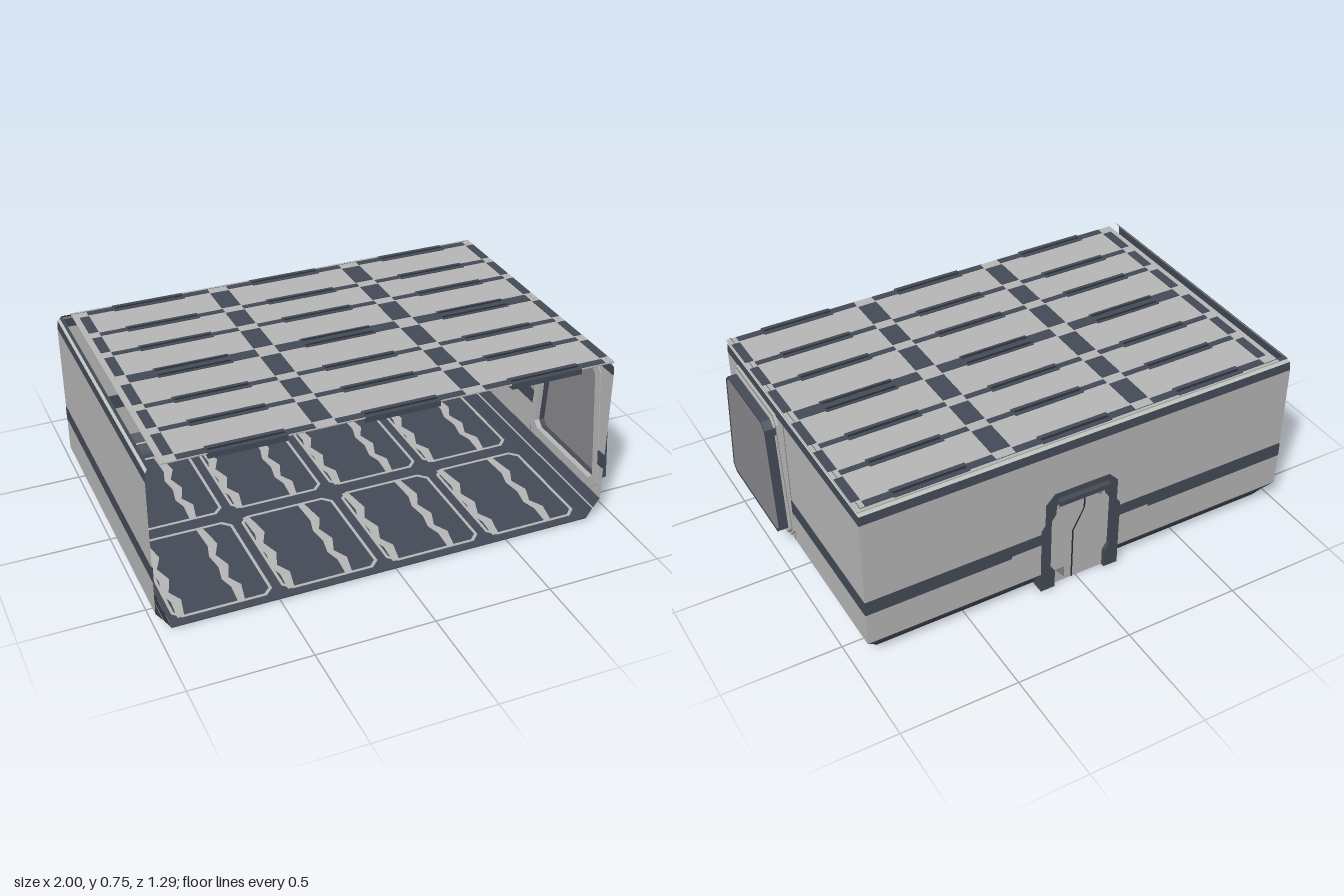
import * as THREE from 'three';

const mat = (name, color, side = THREE.DoubleSide) => {
  const m = new THREE.MeshStandardMaterial({ color, side });
  m.name = name;
  return m;
};

export function createModel() {
  const root = new THREE.Group();
  root.name = 'roomModule';
  const light = mat('lightPanel', 0xb6b6b6);
  const dark = mat('darkTrim', 0x434a56);
  const black = mat('recessBlack', 0x282b32);
  const pale = mat('paleTrim', 0xc6cdc6);
  const glass = mat('windowGrey', 0x88888c);

  const L = -1, R = 0.94, B = -0.617, F = 0.645;
  const doorL = -0.18, doorR = 0.165;

  const add = (name, geo, m, parent = root) => {
    const mesh = new THREE.Mesh(geo, m);
    mesh.name = name;
    parent.add(mesh);
    return mesh;
  };
  // box given by its minimum and maximum on each axis
  const box = (name, m, x0, x1, y0, y1, z0, z1, parent) => {
    const g = new THREE.BoxGeometry(x1 - x0, y1 - y0, z1 - z0);
    g.translate((x0 + x1) / 2, (y0 + y1) / 2, (z0 + z1) / 2);
    return add(name, g, m, parent);
  };
  const shape = (pts, hole) => {
    const s = new THREE.Shape(pts.map(p => new THREE.Vector2(p[0], p[1])));
    if (hole) s.holes.push(new THREE.Path(hole.map(p => new THREE.Vector2(p[0], p[1]))));
    return s;
  };
  const extrude = (s, depth) => new THREE.ExtrudeGeometry(s, { depth, bevelEnabled: false });

  // trim strip along the left, back and right walls, from (inset, y) a to b
  const strip = (name, m, a, b) => {
    const path = d => [[L + d, F], [L + d, B + d], [doorL, B + d], [doorR, B + d], [R - d, B + d], [R - d, F]];
    const p = path(a[0]), q = path(b[0]), pos = [];
    for (let i = 0; i < 5; i++) {
      if (i === 2 && b[1] < 0.45) continue; // leave the doorway free
      const c = [[p[i], a[1]], [p[i + 1], a[1]], [q[i + 1], b[1]], [q[i], b[1]]]
        .map(([v, y]) => [v[0], y, v[1]]);
      for (const k of [0, 2, 1, 0, 3, 2]) pos.push(...c[k]);
    }
    const g = new THREE.BufferGeometry();
    g.setAttribute('position', new THREE.Float32BufferAttribute(pos, 3));
    g.computeVertexNormals();
    add(name, g, m);
  };

  // skirting and upper trim
  strip('skirtLower', dark, [0.06, 0], [0.032, 0.045]);
  strip('skirtLine', light, [0.032, 0.045], [0.028, 0.05]);
  strip('skirtUpper', dark, [0.028, 0.05], [0, 0.088]);
  strip('upperTrim', dark, [0, 0.68], [0.003, 0.72]);
  strip('upperPaleLine', pale, [0.003, 0.72], [0.011, 0.734]);
  strip('upperEdge', dark, [0.011, 0.734], [0.02, 0.745]);

  // window outlines, drawn in (-z, y)
  const winOuter = [[-0.617, 0.145], [-0.575, 0.1], [-0.09, 0.1], [-0.055, 0.145],
    [-0.115, 0.65], [-0.14, 0.685], [-0.53, 0.685], [-0.557, 0.65]];
  const winInner = [[-0.59, 0.15], [-0.56, 0.123], [-0.112, 0.123], [-0.083, 0.15],
    [-0.122, 0.635], [-0.152, 0.662], [-0.505, 0.662], [-0.533, 0.635]];
  const scaled = (pts, k) => pts.map(([x, y]) => [-0.336 + (x + 0.336) * k, 0.392 + (y - 0.392) * k]);

  // side walls
  const sideWall = (name, x, hole) => {
    const g = new THREE.ShapeGeometry(shape([[-F, 0.088], [-B, 0.088], [-B, 0.68], [-F, 0.68]], hole));
    g.rotateY(Math.PI / 2).translate(x, 0, 0);
    add(name, g, light);
  };
  sideWall('leftWall', L);
  sideWall('rightWall', R, scaled(winInner, 0.95));
  box('leftBand', dark, L - 0.001, L + 0.004, 0.238, 0.303, B, F);
  box('rightBandRear', dark, R - 0.004, R + 0.002, 0.238, 0.303, B, 0.066);
  box('rightBandFront', dark, R - 0.004, R + 0.002, 0.238, 0.303, 0.6, F);
  box('wallSeam', glass, R - 0.002, R + 0.002, 0.088, 0.68, 0.062, 0.065);

  // protruding side window
  const win = new THREE.Group();
  win.name = 'sideWindow';
  root.add(win);
  const winRing = (name, m, outer, inner, x, depth) =>
    add(name, extrude(shape(outer, inner), depth).rotateY(Math.PI / 2).translate(x, 0, 0), m, win);
  winRing('windowFlange', light, winOuter, scaled(winInner, 0.95), R - 0.004, 0.014);
  winRing('windowGroove', glass, scaled(winOuter, 0.975), scaled(winOuter, 0.96), R, 0.012);
  winRing('windowStep', light, scaled(winOuter, 0.96), scaled(winInner, 0.95), R, 0.02);
  winRing('windowRim', dark, winInner, scaled(winInner, 0.965), R, 0.058);
  winRing('windowPane', glass, scaled(winInner, 0.965), null, R + 0.048, 0.008);

  // back wall with doorway
  const cx = -0.008;
  const mirror = half => [...half.map(([x, y]) => [cx + x, y]),
    ...half.slice().reverse().map(([x, y]) => [cx - x, y])];
  const frameOuter = mirror([[0.182, 0], [0.182, 0.32], [0.165, 0.345], [0.165, 0.445], [0.125, 0.487]]);
  const opening = mirror([[0.118, 0.001], [0.118, 0.085], [0.139, 0.115], [0.139, 0.355],
    [0.118, 0.385], [0.118, 0.425], [0.095, 0.45]]);
  const backHole = mirror([[0.16, 0.088], [0.16, 0.44], [0.12, 0.47]]);
  const backOutline = [[L, 0.088], [cx - 0.16, 0.088], ...backHole.slice().reverse().slice(1, 5),
    [cx + 0.16, 0.088], [R, 0.088], [R, 0.68], [L, 0.68]];
  add('backWall', new THREE.ShapeGeometry(shape(backOutline)).translate(0, 0, B), light);
  for (const s of [-1, 1]) {
    const [a, b, c] = s < 0 ? [L, -0.33, doorL] : [R, 0.31, doorR];
    const z0 = B - 0.002, z1 = B + 0.004;
    box('backBand', dark, Math.min(a, b), Math.max(a, b), 0.238, 0.303, z0, z1);
    box('backBandNarrow', dark, Math.min(b, c), Math.max(b, c), 0.25, 0.303, z0, z1);
  }
  box('wallKeypad', glass, -0.275, -0.242, 0.095, 0.135, B, B + 0.008);
  for (let i = 0; i < 3; i++)
    box('keypadSlot', black, -0.27, -0.247, 0.102 + i * 0.01, 0.107 + i * 0.01, B, B + 0.01);

  // door
  const door = new THREE.Group();
  door.name = 'door';
  root.add(door);
  const frame = shape([...frameOuter.slice(0, 10)].concat(opening.slice().reverse()));
  add('doorFrame', extrude(frame, 0.06).translate(0, 0, B - 0.004), dark, door);
  add('doorPanel', extrude(shape(opening), 0.008).translate(0, 0, -0.603), light, door);
  box('doorHeader', dark, -0.125, 0.107, 0.44, 0.462, -0.645, -0.6, door);
  const seam = [[-0.03, 0.445], [-0.03, 0.35], [0.02, 0.25], [0.02, 0.002]];
  const seamShape = shape([...seam.map(([x, y]) => [x - 0.003, y]),
    ...seam.slice().reverse().map(([x, y]) => [x + 0.003, y])]);
  add('doorSeam', extrude(seamShape, 0.012).translate(0, 0, -0.605), black, door);
  for (const t of [[[-0.11, 0.435], [-0.11, 0.38], [-0.05, 0.435]], [[0.03, 0.435], [0.09, 0.435], [0.09, 0.39]],
    [[0.055, 0.015], [0.1, 0.07], [0.055, 0.07]]])
    add('doorFacet', extrude(shape(t), 0.01).translate(0, 0, -0.604), glass, door);
  box('doorLintelLamp', black, -0.045, 0.03, 0.44, 0.452, -0.6, -0.553, door);
  for (const s of [-1, 1])
    for (const [dx, y] of [[0.155, 0.19], [0.16, 0.295], [0.145, 0.42], [0.07, 0.468]])
      box('frameStud', light, cx + s * dx - 0.007, cx + s * dx + 0.007, y - 0.005, y + 0.005, -0.565, -0.558, door);

  // roof with grid of dark bars
  const roof = new THREE.Group();
  roof.name = 'roof';
  root.add(roof);
  box('roofPanel', light, -0.94, R, 0.738, 0.743, -0.612, 0.64, roof);
  const rows = [[-0.58, 0.032], [-0.38, 0.026], [-0.2, 0.026], [0.018, 0.056], [0.24, 0.026], [0.42, 0.026], [0.62, 0.032]];
  const cols = [[-0.895, 0.04], [-0.297, 0.084], [0.322, 0.084], [0.918, 0.036]];
  rows.forEach(([z, w], r) => {
    for (let c = 0; c < 3; c++) {
      const x0 = cols[c][0] + cols[c][1] / 2 - (c ? -0.002 : 0), x1 = cols[c + 1][0] - cols[c + 1][1] / 2;
      const mid = (x0 + x1) / 2, h = w / 2 + 0.009;
      box('roofBar', dark, x0, x1, 0.735, 0.7455, z - w / 2, z + w / 2, roof);
      box('roofBarHousing', dark, mid - 0.155, mid + 0.155, 0.722, 0.7462, z - h, z + h, roof);
      for (const o of r === 3 ? [-0.02, 0.02] : [0])
        box('roofBarSlot', black, mid - 0.15, mid + 0.15, 0.721, 0.7467, z + o - 0.006, z + o + 0.006, roof);
    }
    if (r === 6) return;
    const [zn, wn] = rows[r + 1];
    for (const [x, cw] of cols)
      box('roofCrossBar', dark, x - cw / 2, x + cw / 2, 0.735, 0.7455, z + w / 2 + 0.012, zn - wn / 2 - 0.012, roof);
  });

  // floor with outlined plates and jagged inlays
  const floor = new THREE.Group();
  floor.name = 'floor';
  root.add(floor);
  box('floorSlab', dark, L + 0.06, R - 0.06, 0.002, 0.006, B + 0.06, F, floor);
  const rect = (w, h, c) => [[-w + c, -h], [w - c, -h], [w, -h + c], [w, h - c], [w - c, h], [-w + c, h], [-w, h - c], [-w, -h + c]];
  const flat = g => g.rotateX(-Math.PI / 2);
  const jag = [[0, -0.26], [0.012, -0.16], [-0.012, -0.1], [0.008, -0.02], [-0.01, 0.06], [0.014, 0.13], [0, 0.26]];
  const jagShape = shape([...jag.map(([x, y], i) => [x + 0.014 + (i % 2) * 0.008, y]),
    ...jag.slice().reverse().map(([x, y], i) => [x - 0.014 - (i % 2) * 0.006, y])]);
  for (let c = 0; c < 4; c++)
    for (let r = 0; r < 2; r++) {
      const x = -0.03 + (c - 1.5) * 0.455, z = 0.044 + (r - 0.5) * 0.595;
      const outline = extrude(shape(rect(0.208, 0.265, 0.035), rect(0.196, 0.253, 0.03)), 0.008);
      add('floorOutline', flat(outline).translate(x, 0, z), light, floor);
      for (const o of [-0.178, 0.07])
        add('floorInlay', flat(extrude(jagShape, 0.007)).translate(x + o, 0.0005, z), light, floor);
    }

  return root;
}
